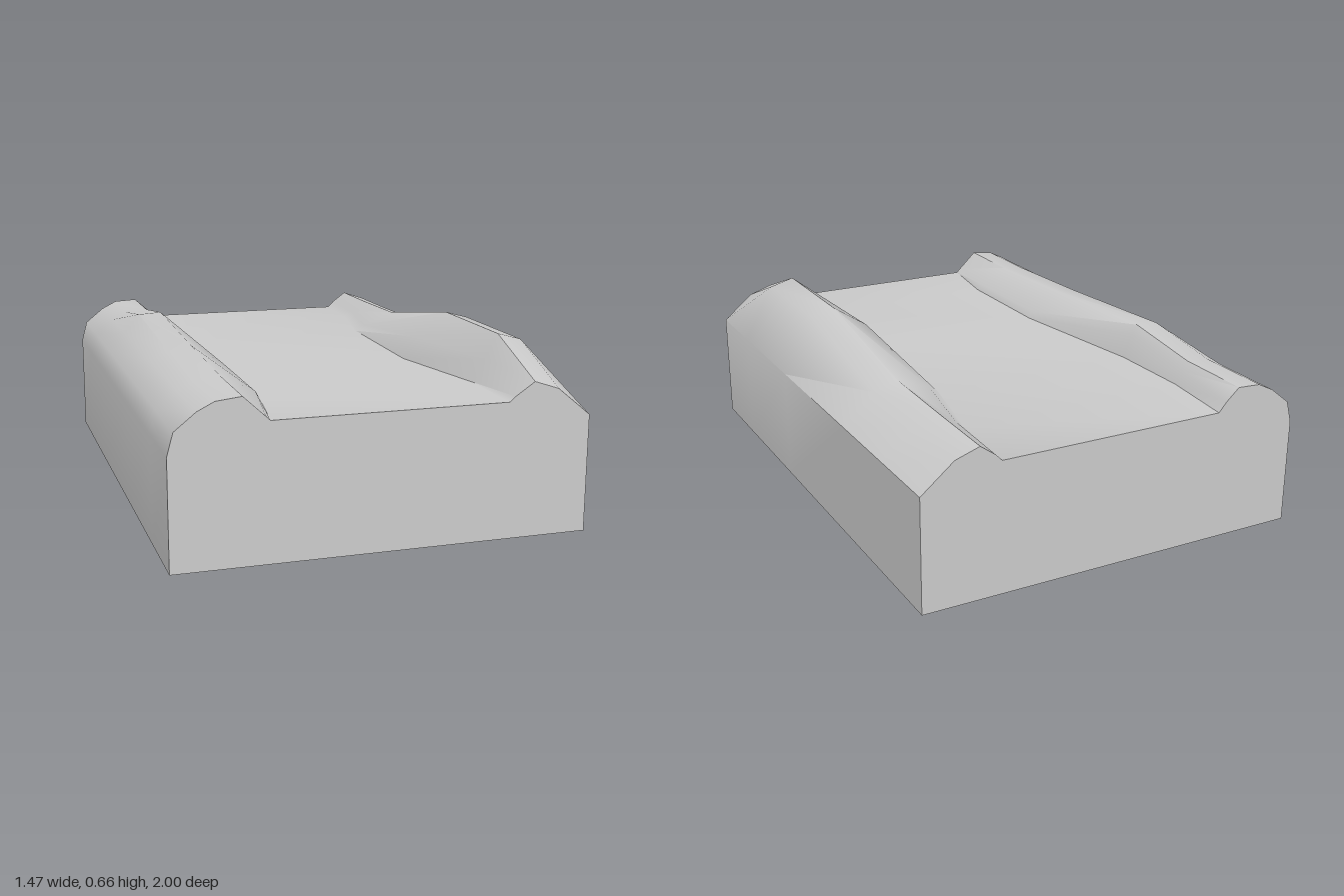
import * as THREE from 'three';
import { toCreasedNormals } from 'three/addons/utils/BufferGeometryUtils.js';

const FLOOR = 0.485;
const HALF = 0.737;

// One row per station along the length:
// z | right bank: outer y, crest y, inner shoulder x, y, foot x | left bank: foot x, shoulder x, y, crest y, outer y
const STATIONS = [
  [1.0, 0.56, 0.57, -0.415, 0.50, -0.40, 0.435, 0.455, 0.503, 0.55, 0.52],
  [0.7, 0.56, 0.57, -0.37, 0.51, -0.355, 0.44, 0.48, 0.57, 0.66, 0.635],
  [0.23, 0.575, 0.585, -0.37, 0.51, -0.355, 0.35, 0.39, 0.57, 0.66, 0.635],
  [-0.37, 0.605, 0.61, -0.47, 0.575, -0.435, 0.365, 0.40, 0.51, 0.56, 0.53],
  [-0.7, 0.56, 0.567, -0.46, 0.535, -0.44, 0.43, 0.46, 0.51, 0.553, 0.523],
  [-1.0, 0.56, 0.565, -0.44, 0.52, -0.41, 0.445, 0.47, 0.51, 0.55, 0.52],
];

// Closed cross-section, running over the top from -x to +x
function section([, ro, rc, rsx, rsy, rf, lf, lsx, lsy, lc, lo]) {
  return [
    [-HALF, 0], [-HALF, 0.39], [-0.715, 0.47], [-0.64, 0.53], [-0.58, ro], [-0.49, rc],
    [rsx, rsy], [rf, FLOOR], [lf, FLOOR], [lsx, lsy],
    [0.525, lc], [0.615, lo], [HALF, 0.42], [HALF, 0],
  ].map(([x, y]) => new THREE.Vector2(x, y));
}

function loftGeometry() {
  const rings = STATIONS.map(section);
  const count = rings[0].length;
  const positions = [];
  const indices = [];
  rings.forEach((ring, i) => ring.forEach((p) => positions.push(p.x, p.y, STATIONS[i][0])));

  // Skin between neighbouring sections
  for (let i = 0; i < rings.length - 1; i++) {
    for (let j = 0; j < count; j++) {
      const k = (j + 1) % count;
      const a = i * count + j, b = i * count + k;
      const c = a + count, d = b + count;
      indices.push(a, b, c, b, d, c);
    }
  }

  // Flat end caps, each wound to face outward
  [0, rings.length - 1].forEach((i) => {
    const ring = rings[i];
    const outward = i === 0 ? 1 : -1;
    for (const [a, b, c] of THREE.ShapeUtils.triangulateShape(ring, [])) {
      const turn = Math.sign(THREE.ShapeUtils.area([ring[a], ring[b], ring[c]]));
      const tri = turn === outward ? [a, b, c] : [a, c, b];
      indices.push(...tri.map((v) => v + i * count));
    }
  });

  const geometry = new THREE.BufferGeometry();
  geometry.setAttribute('position', new THREE.Float32BufferAttribute(positions, 3));
  geometry.setIndex(indices);
  return toCreasedNormals(geometry, 0.8);
}

export function createModel() {
  const group = new THREE.Group();
  group.name = 'channelTile';

  // Ground block with a flat path between two uneven banks
  const block = new THREE.Mesh(loftGeometry(), new THREE.MeshStandardMaterial({ color: 0xcccccc }));
  block.name = 'bankedGroundBlock';
  group.add(block);
  return group;
}
